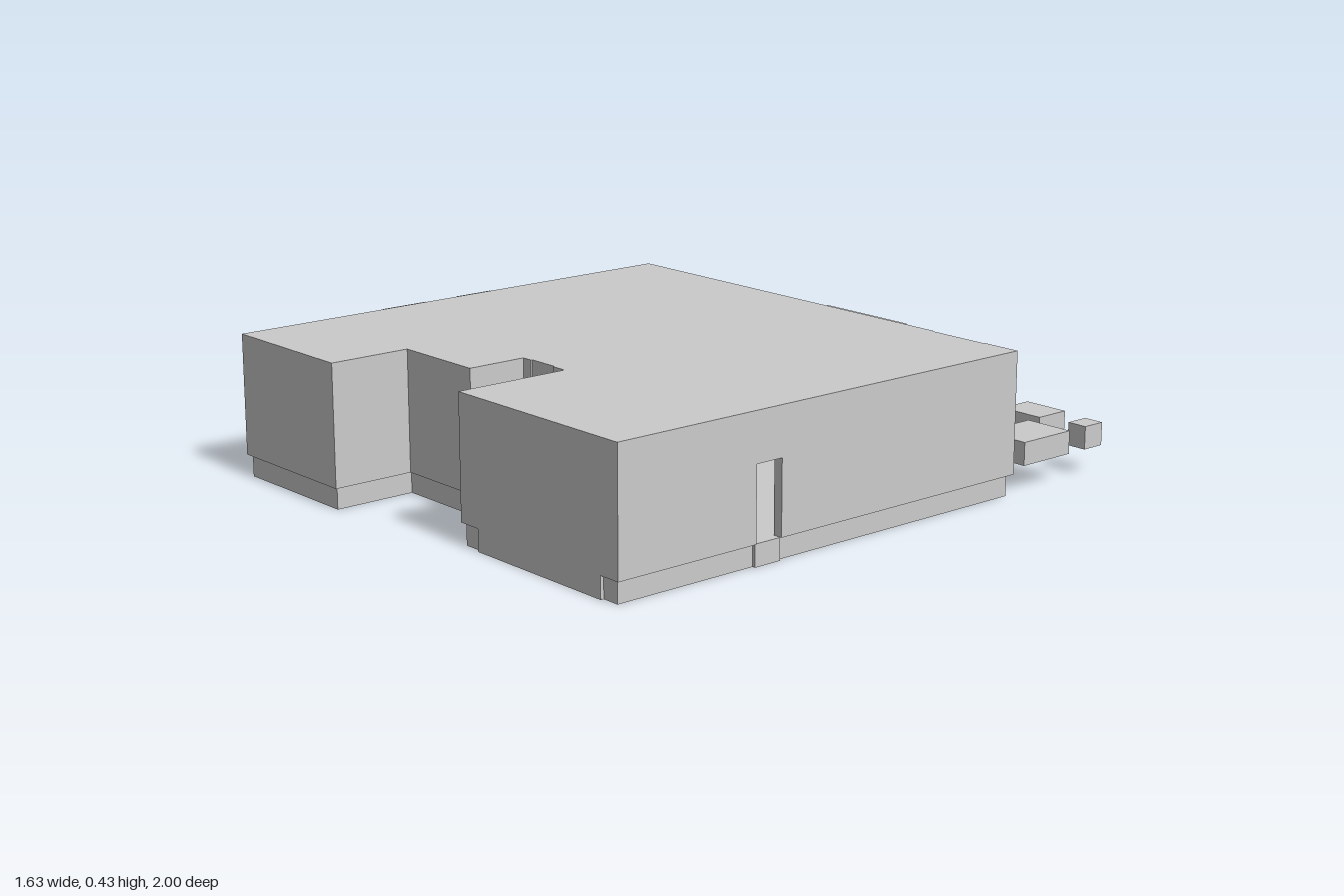
import * as THREE from 'three';

const material = new THREE.MeshStandardMaterial({ color: 0xcccccc, flatShading: true, side: THREE.DoubleSide });
const FLOOR = 0.065, TOP = 0.43, HEAD = 0.285, THICK = 0.03;

// Outer wall line as [x, z, opening], where opening is [from, to] along the wall starting at that corner
const outline = [
  [-0.805, -0.55], [0.485, -0.55], [0.485, -0.545, [0, 0.205]], [0.69, -0.545], [0.69, -0.55],
  [0.815, -0.55, [0.91, 1.0]], [0.815, 0.92], [0.15, 0.92], [0.15, 0.56], [0.1, 0.56],
  [0.1, 0.555, [0, 0.1]], [0, 0.555], [0, 0.56], [-0.035, 0.56], [-0.035, 0.745],
  [-0.335, 0.745], [-0.335, 1], [-0.805, 1],
];
const baseLine = [
  [-0.79, -0.535], [0.8, -0.535], [0.8, 0.91], [0.16, 0.91], [0.16, 0.55], [-0.047, 0.55],
  [-0.047, 0.735], [-0.345, 0.735], [-0.345, 0.99], [-0.79, 0.99],
];

function add(group, name, geometry) {
  const mesh = new THREE.Mesh(geometry, material);
  mesh.name = name;
  group.add(mesh);
  return mesh;
}

// Box given by its limits on each axis
function box(group, name, x0, x1, y0, y1, z0, z1) {
  const mesh = add(group, name, new THREE.BoxGeometry(x1 - x0, y1 - y0, z1 - z0));
  mesh.position.set((x0 + x1) / 2, (y0 + y1) / 2, (z0 + z1) / 2);
  return mesh;
}

// Horizontal slab with a plan outline
function slab(group, name, points, y0, y1) {
  const shape = new THREE.Shape(points.map(([x, z]) => new THREE.Vector2(x, -z)));
  const geometry = new THREE.ExtrudeGeometry(shape, { depth: y1 - y0, bevelEnabled: false });
  geometry.rotateX(-Math.PI / 2);
  add(group, name, geometry).position.y = y0;
}

// Upright wall between two corners, thickened inward, with an optional doorway
function wall(group, [x0, z0, opening], [x1, z1]) {
  const length = Math.hypot(x1 - x0, z1 - z0);
  const shape = new THREE.Shape();
  shape.moveTo(0, FLOOR);
  if (opening) {
    const [a, b] = opening;
    shape.lineTo(a, FLOOR).lineTo(a, HEAD).lineTo(b, HEAD).lineTo(b, FLOOR);
  }
  shape.lineTo(length, FLOOR).lineTo(length, TOP).lineTo(0, TOP).lineTo(0, FLOOR);
  const geometry = new THREE.ExtrudeGeometry(shape, { depth: THICK, bevelEnabled: false });
  const mesh = add(group, 'wall', geometry);
  mesh.position.set(x0, 0, z0);
  mesh.rotation.y = Math.atan2(z0 - z1, x1 - x0);
}

// Box with no underside
function openBox(group, name, ...limits) {
  const mesh = box(group, name, ...limits);
  const index = Array.from(mesh.geometry.index.array);
  index.splice(18, 6);
  mesh.geometry.setIndex(index);
}

export function createModel() {
  const model = new THREE.Group();
  model.name = 'house';

  slab(model, 'foundation', baseLine, 0, FLOOR);
  slab(model, 'roof', outline, TOP - 0.01, TOP);

  const walls = new THREE.Group();
  walls.name = 'walls';
  outline.forEach((corner, i) => wall(walls, corner, outline[(i + 1) % outline.length]));
  model.add(walls);

  // Garage front reaching the ground, and the side door sill
  box(model, 'garageDoor', 0.225, 0.745, 0, FLOOR, 0.89, 0.92);
  box(model, 'sideDoorSill', 0.77, 0.81, 0, FLOOR, 0.36, 0.45);
  box(model, 'frontDoorSill', 0, 0.1, FLOOR, 0.08, 0.525, 0.555);

  // Shallow full-height bays with their footings
  for (const [z0, z1] of [[0.09, 0.22], [0.335, 0.495]]) {
    box(model, 'sideBay', -0.82, -0.79, FLOOR, TOP - 0.003, z0, z1);
    box(model, 'sideBayFooting', -0.81, -0.78, 0, FLOOR, z0 + 0.01, z1 - 0.01);
  }
  box(model, 'backBay', 0.025, 0.36, FLOOR, TOP - 0.003, -0.568, -0.54);
  box(model, 'backBayFooting', 0.035, 0.35, 0, FLOOR, -0.555, -0.53);

  // Indoor furniture seen through the doorways
  openBox(model, 'indoorSeat', 0.035, 0.085, 0.08, 0.155, -0.3, -0.2);
  openBox(model, 'indoorTable', 0.62, 0.76, 0.08, 0.15, -0.4, -0.28);

  // Outdoor furniture behind the house
  openBox(model, 'patioTable', 0.65, 0.81, 0.08, 0.15, -0.795, -0.6);
  openBox(model, 'patioBench', 0.465, 0.615, 0.08, 0.135, -1, -0.885);
  openBox(model, 'patioStool', 0.745, 0.81, 0.08, 0.15, -0.94, -0.865);

  return model;
}
